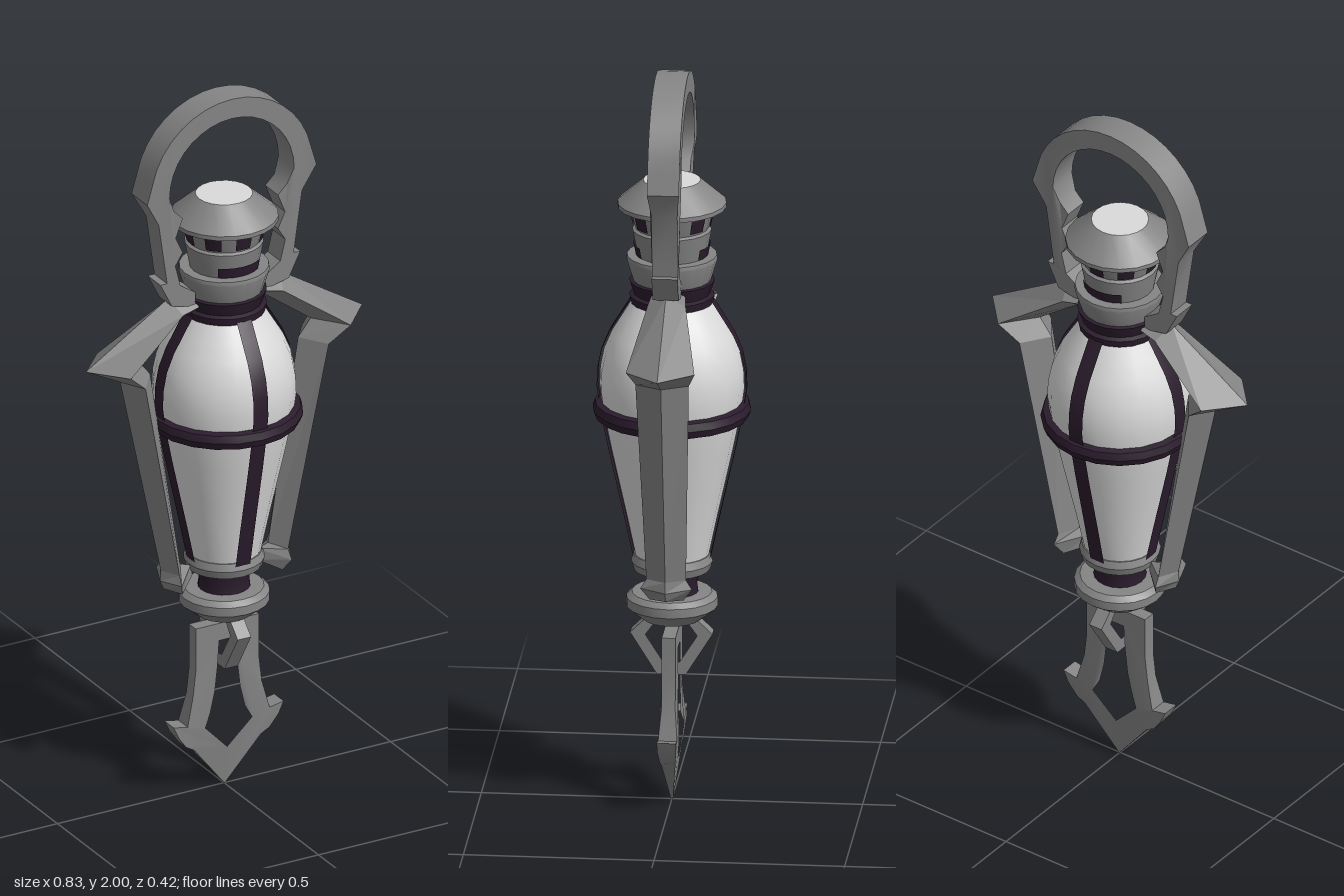
import * as THREE from 'three';
import { toCreasedNormals } from 'three/addons/utils/BufferGeometryUtils.js';

const SIDES = 20;

export function createModel() {
  const model = new THREE.Group();
  const mat = (name, color, side = THREE.FrontSide) => {
    const m = new THREE.MeshStandardMaterial({ color, side });
    m.name = name;
    return m;
  };
  const metal = mat('grey metal', 0x858585);
  const glass = mat('pale glass', 0xdadada);
  const dark = mat('dark iron', 0x2b1c2d, THREE.DoubleSide);

  const add = (name, geo, material) => {
    const mesh = new THREE.Mesh(geo, material);
    mesh.name = name;
    model.add(mesh);
    return mesh;
  };
  const vecs = (pts) => pts.map(([x, y]) => new THREE.Vector2(x, y));
  // Profiles run from bottom to top as [radius, height]
  const turned = (name, pts, material, crease = 0.5) =>
    add(name, toCreasedNormals(new THREE.LatheGeometry(vecs(pts), SIDES), crease), material);
  // Completes a right-half outline with its mirror image
  const mirrored = (pts) => vecs([...pts, ...pts.filter((p) => p[0] > 0).reverse().map(([x, y]) => [-x, y])]);
  // Centred extrusion whose half thickness depends on height
  const plate = (outline, hole, half) => {
    const shape = new THREE.Shape(mirrored(outline));
    if (hole) shape.holes.push(new THREE.Path(mirrored(hole)));
    const geo = new THREE.ExtrudeGeometry(shape, { depth: 2, bevelEnabled: false });
    const p = geo.attributes.position;
    for (let i = 0; i < p.count; i++) p.setZ(i, (p.getZ(i) - 1) * half(p.getY(i)));
    geo.computeVertexNormals();
    return toCreasedNormals(geo, 0.45);
  };

  // Glass bulb
  const bulb = [[0.095, 0.67], [0.118, 0.78], [0.14, 0.88], [0.162, 0.98], [0.182, 1.08], [0.19, 1.14],
    [0.188, 1.19], [0.178, 1.24], [0.157, 1.29], [0.13, 1.335], [0.1, 1.385]];
  turned('glassBulb', bulb, glass, 0.9);

  // Vertical straps following the bulb at front, back and both sides
  const strapPath = [...bulb].reverse();
  for (let k = 0; k < 4; k++) {
    const geo = new THREE.PlaneGeometry(0.044, 1, 2, strapPath.length - 1);
    const p = geo.attributes.position;
    for (let i = 0; i < p.count; i++) {
      const [r, y] = strapPath[Math.floor(i / 3)];
      const x = p.getX(i);
      p.setXYZ(i, x, y, Math.sqrt((r + 0.007) ** 2 - x * x));
    }
    geo.computeVertexNormals();
    add('bulbStrap', geo, dark).rotation.y = k * Math.PI / 2;
  }
  turned('bulbBand', [[0.18, 1.058], [0.2, 1.06], [0.208, 1.08], [0.202, 1.1], [0.185, 1.104]], dark);

  // Collars, vented chimney and cap
  turned('darkCollar', [[0.09, 1.372], [0.108, 1.375], [0.112, 1.395], [0.1, 1.4], [0.112, 1.435], [0.09, 1.44]], dark);
  turned('upperCollar', [[0.09, 1.425], [0.1, 1.43], [0.12, 1.495], [0.118, 1.505], [0.09, 1.505]], metal);
  const chimney = [[0.09, 1.5], [0.104, 1.575], [0.096, 1.58], [0.11, 1.63]];
  turned('chimney', chimney, metal);
  turned('cap', [[0.1, 1.625], [0.143, 1.638], [0.143, 1.65], [0.075, 1.71]], metal);
  const lid = new THREE.CircleGeometry(0.075, SIDES);
  lid.rotateX(-Math.PI / 2);
  add('capTop', lid, glass).position.y = 1.71;

  // Dark openings as thin curved panels just outside the chimney
  const opening = (name, pts, angle, width) =>
    add(name, new THREE.LatheGeometry(vecs(pts), 6, angle - width / 2, width), dark);
  for (let k = 0; k < 8; k++) opening('capVent', [[0.102, 1.587], [0.111, 1.625]], k * Math.PI / 4, 0.42);
  for (let k = 0; k < 2; k++) opening('chimneySlot', [[0.095, 1.507], [0.101, 1.537]], k * Math.PI, 1.35);

  // Lower collar, neck and foot
  turned('lowerCollar', [[0.07, 0.635], [0.1, 0.638], [0.107, 0.66], [0.1, 0.68], [0.08, 0.682]], metal);
  turned('lowerNeck', [[0.07, 0.57], [0.066, 0.6], [0.075, 0.64]], dark);
  turned('bottomCap', [[0, 0.5], [0.075, 0.5], [0.12, 0.537], [0.12, 0.562], [0.105, 0.575], [0, 0.578]], metal);

  // Carrying ring with stepped ends
  const arc = (r, from, to, n) => Array.from({ length: n + 1 }, (_, i) => {
    const a = THREE.MathUtils.degToRad(from + (to - from) * i / n);
    return [i === 0 && from === 90 || i === n && to === 90 ? 0 : r * Math.cos(a), 1.755 + r * Math.sin(a)];
  });
  const ring = [...arc(0.243, 90, 12, 8), [0.254, 1.75], [0.215, 1.68], [0.195, 1.54], [0.19, 1.505], [0.21, 1.505],
    [0.175, 1.435], [0.105, 1.42], [0.105, 1.46], [0.15, 1.49], [0.165, 1.55], [0.143, 1.585], [0.164, 1.63],
    [0.143, 1.683], [0.17, 1.71], ...arc(0.187, 0, 90, 9)];
  add('carryingRing', plate(ring, null, (y) => (y > 1.72 ? 0.042 : 0.034)), metal);

  // Side arms: each section is outer ridge, wide edge (with z), inner ridge
  const sections = [
    [[0.1, 1.45], [0.1, 1.42, 0.045], [0.1, 1.385]],
    [[0.17, 1.442], [0.15, 1.41, 0.05], [0.125, 1.385]],
    [[0.415, 1.288], [0.33, 1.285, 0.09], [0.26, 1.285]],
    [[0.312, 1.235], [0.275, 1.235, 0.07], [0.222, 1.238]],
    [[0.19, 0.66], [0.163, 0.66, 0.052], [0.132, 0.665]],
    [[0.192, 0.63], [0.165, 0.635, 0.068], [0.1, 0.655]],
    [[0.182, 0.605], [0.15, 0.6, 0.045], [0.095, 0.625]],
  ];
  const armGeometry = () => {
    const pos = [], index = [], last = (sections.length - 1) * 4;
    for (const [o, m, i] of sections) pos.push(o[0], o[1], 0, m[0], m[1], m[2], i[0], i[1], 0, m[0], m[1], -m[2]);
    const quad = (a, b, c, d) => index.push(a, b, c, a, c, d);
    for (let s = 0; s < last; s += 4)
      for (let j = 0; j < 4; j++) quad(s + j, s + (j + 1) % 4, s + 4 + (j + 1) % 4, s + 4 + j);
    quad(3, 2, 1, 0);
    quad(last, last + 1, last + 2, last + 3);
    const geo = new THREE.BufferGeometry();
    geo.setAttribute('position', new THREE.Float32BufferAttribute(pos, 3));
    geo.setIndex(index);
    const flat = geo.toNonIndexed();
    flat.computeVertexNormals();
    return flat;
  };
  const arm = armGeometry();
  add('leftArm', arm, metal);
  add('rightArm', arm, metal).rotation.y = Math.PI;

  // Link below the bottom cap
  const link = plate(
    [[0, 0.51], [0.06, 0.51], [0.108, 0.463], [0.038, 0.35], [0, 0.35]],
    [[0, 0.49], [0.045, 0.49], [0.068, 0.458], [0.022, 0.385], [0, 0.385]], () => 0.02);
  link.rotateY(Math.PI / 2);
  add('hangingLink', link, metal);

  // Pointed pendant, thinning to its tip
  const pendant = plate(
    [[0, 0.475], [0.095, 0.475], [0.095, 0.35], [0.103, 0.28], [0.123, 0.2], [0.165, 0.208], [0.15, 0.175],
      [0.125, 0.14], [0.1, 0.125], [0, 0]],
    [[0, 0.425], [0.025, 0.425], [0.03, 0.35], [0.038, 0.28], [0.052, 0.22], [0.07, 0.185], [0, 0.112]],
    (y) => (y > 0.215 ? 0.018 : 0.003 + 0.022 * Math.min(1, y / 0.18)));
  add('pendant', pendant, metal);

  return model;
}
